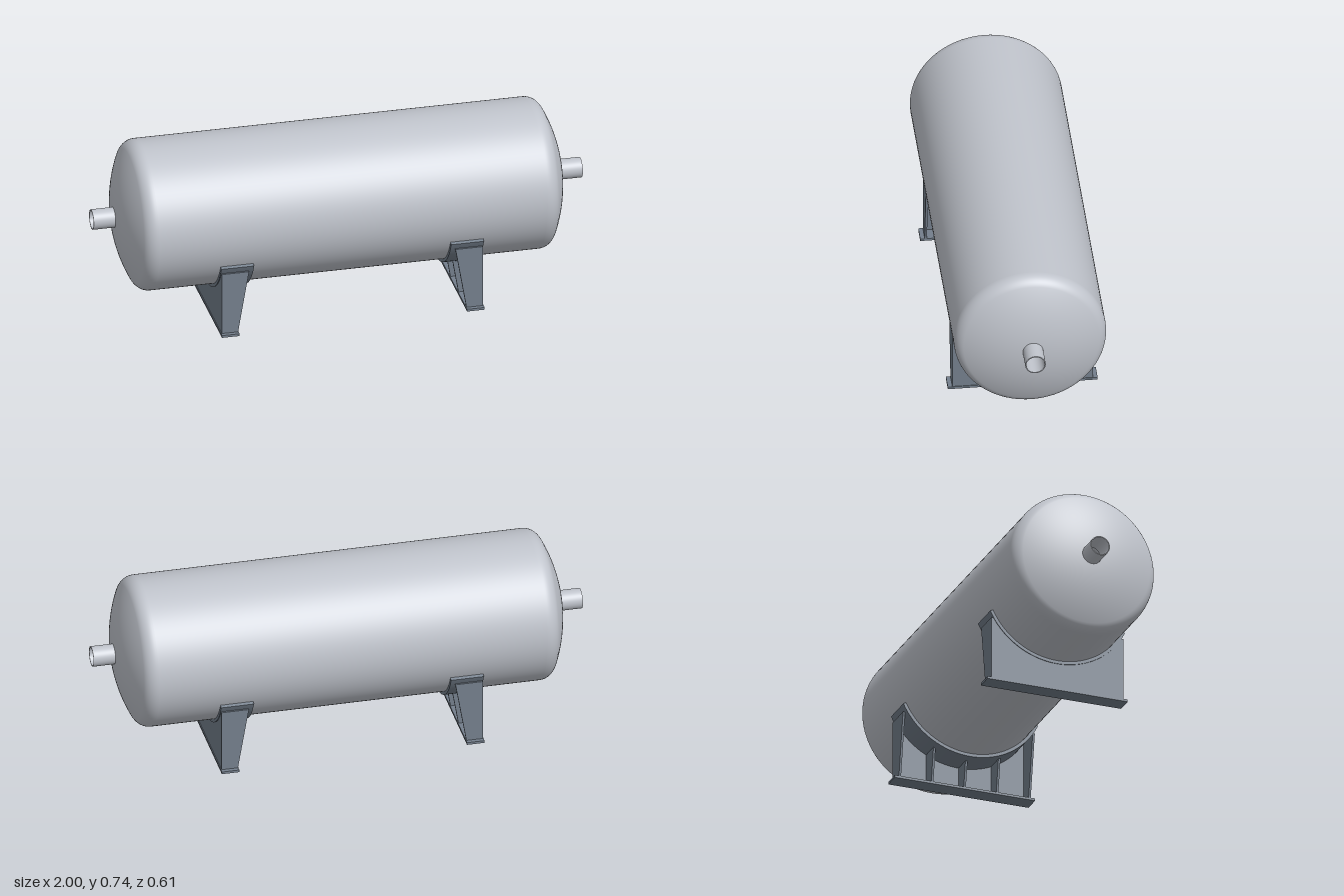
import * as THREE from 'three';

const CY = 0.434;        // height of the tank axis
const R = 0.305;         // shell radius
const PLATE_R = 0.318;   // outer radius of the saddle wear plate

const steel = new THREE.MeshStandardMaterial({ color: 0xc0c4cc });
steel.name = 'light steel';
const paint = new THREE.MeshStandardMaterial({ color: 0x747f8c });
paint.name = 'slate paint';

function add(group, name, geometry, material) {
  const mesh = new THREE.Mesh(geometry, material);
  mesh.name = name;
  group.add(mesh);
  return mesh;
}

// Half profile of a dished head: spherical crown, then a rounded knuckle, as [radius, x]
function headProfile(r, tip, hole) {
  const crown = 2 * r, knuckle = 0.2 * r;
  const joint = Math.asin((r - knuckle) / (crown - knuckle));
  const cx = tip - crown;
  const kx = cx + (crown - knuckle) * Math.cos(joint);
  const start = Math.asin(hole / crown);
  const pts = [];
  for (let i = 0; i <= 16; i++) {
    const a = start + (joint - start) * i / 16;
    pts.push([crown * Math.sin(a), cx + crown * Math.cos(a)]);
  }
  for (let i = 1; i <= 10; i++) {
    const a = joint + (Math.PI / 2 - joint) * i / 10;
    pts.push([r - knuckle + knuckle * Math.sin(a), kx + knuckle * Math.cos(a)]);
  }
  return pts;
}

// Lathe around the x axis; repeated points give a sharp edge
function latheX(pts) {
  const geo = new THREE.LatheGeometry(pts.map(([r, x]) => new THREE.Vector2(r, x)), 96);
  return geo.rotateZ(-Math.PI / 2);
}

// Whole vessel surface from the -x opening to the +x opening
function vesselProfile(r, tip, hole) {
  const right = headProfile(r, tip, hole);
  const left = right.map(([a, x]) => [a, -x]);
  const [endR, endX] = right[right.length - 1];
  // repeat the tangent points so the straight shell shades evenly
  return [...left, [endR, -endX], [endR, endX], ...right.reverse()];
}

// Extrude a z-y outline along x, from x0 to x1
function extrudeX(shape, x0, x1) {
  const geo = new THREE.ExtrudeGeometry(shape, { depth: x1 - x0, bevelEnabled: false, curveSegments: 64 });
  return geo.rotateY(Math.PI / 2).translate(x0, 0, 0);
}

function makeSaddle() {
  const saddle = new THREE.Group();

  // Base plate
  add(saddle, 'basePlate', new THREE.BoxGeometry(0.072, 0.01, 0.6).translate(0.501, 0.005, 0), paint);

  // Curved wear plate hugging the shell
  const half = THREE.MathUtils.degToRad(65), down = -Math.PI / 2;
  const wear = new THREE.Shape();
  wear.absarc(0, CY, PLATE_R, down - half, down + half, false);
  wear.absarc(0, CY, R, down + half, down - half, true);
  wear.closePath();
  add(saddle, 'wearPlate', extrudeX(wear, 0.403, 0.537), paint);

  // Upright web with an arc cut from its top
  const w = 0.273, webTop = Math.acos(-0) - Math.asin(w / PLATE_R);
  const web = new THREE.Shape();
  web.moveTo(-w, 0.01);
  web.lineTo(w, 0.01);
  web.absarc(0, CY, PLATE_R, -webTop, -Math.PI + webTop, true);
  web.closePath();
  add(saddle, 'web', extrudeX(web, 0.524, 0.534), paint);

  // Tapered ribs on the inner side, wider towards the top
  const ribWidth = 0.009;
  for (const z of [-0.2775, -0.139, 0, 0.139, 0.2775]) {
    const top = CY - Math.sqrt(PLATE_R ** 2 - Math.min(Math.abs(z), w) ** 2) + 0.002;
    const innerX = (y) => 0.467 - 0.045 * (y - 0.01) / 0.265;
    const outer = Math.abs(z) > 0.2 ? 0.534 : 0.526;
    const rib = new THREE.Shape();
    rib.moveTo(innerX(0.01), 0.01);
    rib.lineTo(outer, 0.01);
    rib.lineTo(outer, top);
    rib.lineTo(innerX(top), top);
    rib.closePath();
    const geo = new THREE.ExtrudeGeometry(rib, { depth: ribWidth, bevelEnabled: false });
    add(saddle, 'rib', geo.translate(0, 0, z - ribWidth / 2), paint);
  }
  return saddle;
}

export function createModel() {
  const model = new THREE.Group();
  model.name = 'horizontalTank';

  // Hollow shell with dished heads, open at the nozzles
  const vessel = new THREE.Group();
  vessel.name = 'vessel';
  vessel.position.y = CY;
  model.add(vessel);
  add(vessel, 'shell', latheX(vesselProfile(R, 0.912, 0.039)), steel);
  add(vessel, 'shellInside', latheX(vesselProfile(R - 0.006, 0.906, 0.037).reverse()), steel);

  // Open pipe nozzle on each end
  const ro = 0.041, ri = 0.037, x0 = 0.9, x1 = 1;
  const pipe = [[ri, x0], [ro, x0], [ro, x0], [ro, x1], [ro, x1], [ri, x1], [ri, x1], [ri, x0]];
  for (const side of [0, 1]) {
    const nozzle = add(vessel, side ? 'rightNozzle' : 'leftNozzle', latheX(pipe), steel);
    nozzle.rotation.y = side * Math.PI;
  }

  // Two mirrored saddle supports
  for (const side of [0, 1]) {
    const saddle = makeSaddle();
    saddle.name = side ? 'rightSaddle' : 'leftSaddle';
    saddle.rotation.y = side * Math.PI;
    model.add(saddle);
  }
  return model;
}
